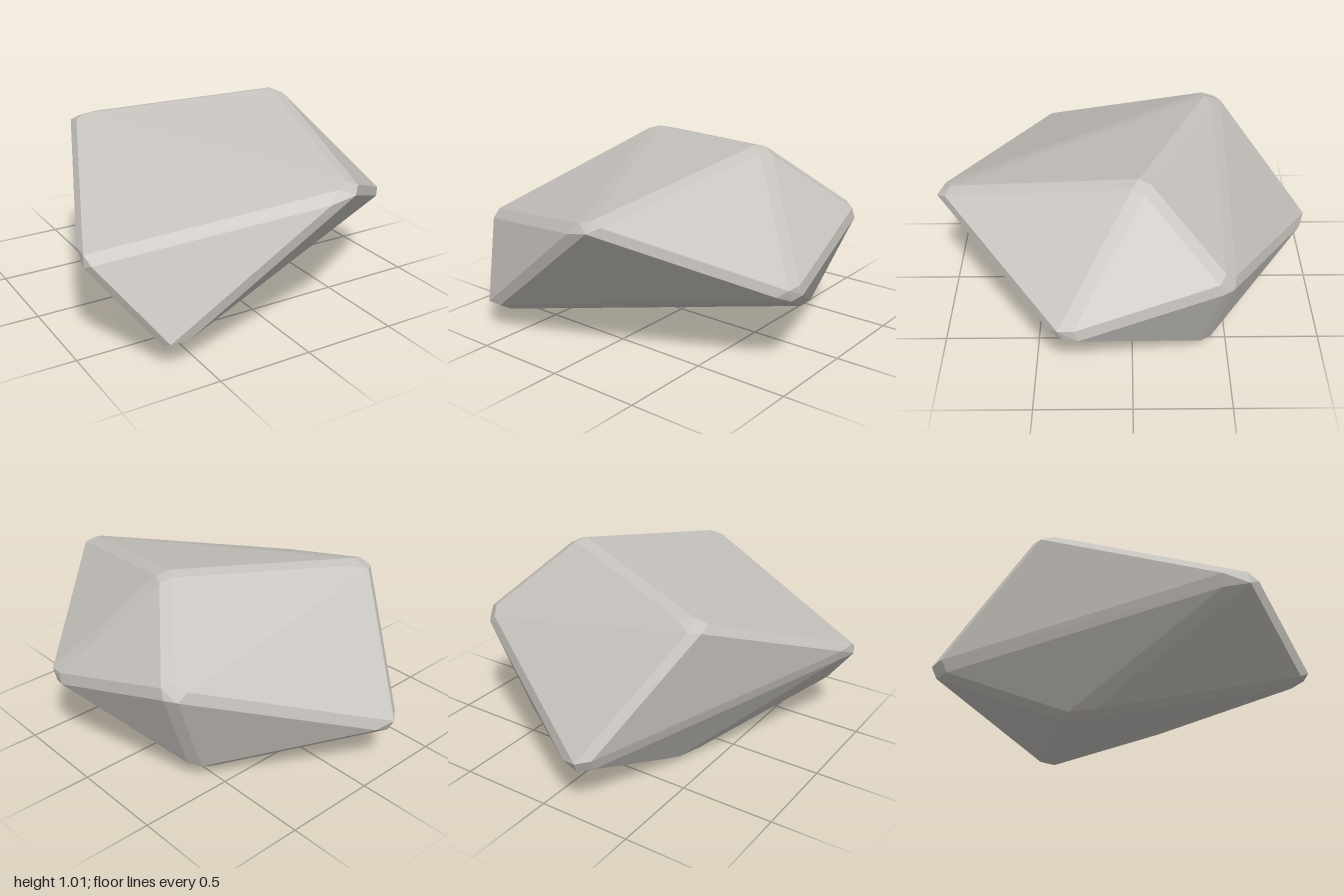
import * as THREE from 'three';
import { ConvexGeometry } from 'three/addons/geometries/ConvexGeometry.js';

const BEVEL = 0.036;

// Main corners of the boulder before chamfering
const CORNERS = [
  [-0.21, 0.26, -1.04],   // back tip
  [0.84, 0.64, -0.48],    // back left shoulder
  [0.98, 0.42, 0.35],     // left tip
  [0.25, 0.80, 1.02],     // front tip
  [-0.97, 0.51, 0.50],    // right tip
  [-0.56, 0.91, -0.49],   // rear crown
  [0.50, 1.02, -0.06],    // top crown
  [-0.665, 0.10, 0.835],  // front foot
  [0.60, 0.04, -0.39],    // left foot
  [-0.32, -0.01, -0.30],  // lowest point
];

// Insets every face of a hull by the bevel width; the hull of the result is chamfered
function chamferedHull(points, width) {
  const pos = new ConvexGeometry(points).getAttribute('position');
  const inset = [];
  for (let i = 0; i < pos.count; i += 3) {
    const tri = [0, 1, 2].map((k) => new THREE.Vector3().fromBufferAttribute(pos, i + k));
    for (let k = 0; k < 3; k++) {
      const v = tri[k];
      const a = tri[(k + 1) % 3].clone().sub(v).normalize();
      const b = tri[(k + 2) % 3].clone().sub(v).normalize();
      const step = width / Math.max(Math.sin(a.angleTo(b)), 0.45);
      inset.push(v.clone().addScaledVector(a, step).addScaledVector(b, step));
    }
  }
  return new ConvexGeometry(inset);
}

export function createModel() {
  const group = new THREE.Group();
  group.name = 'rock';
  const stone = new THREE.MeshStandardMaterial({ color: 0xc6c2bd });
  stone.name = 'stone grey';

  const geometry = chamferedHull(CORNERS.map((c) => new THREE.Vector3(...c)), BEVEL);

  // Centre the boulder and rest its lowest point on the ground
  geometry.center();
  geometry.computeBoundingBox();
  geometry.translate(0, -geometry.boundingBox.min.y, 0);

  const boulder = new THREE.Mesh(geometry, stone);
  boulder.name = 'boulder';
  group.add(boulder);
  return group;
}
